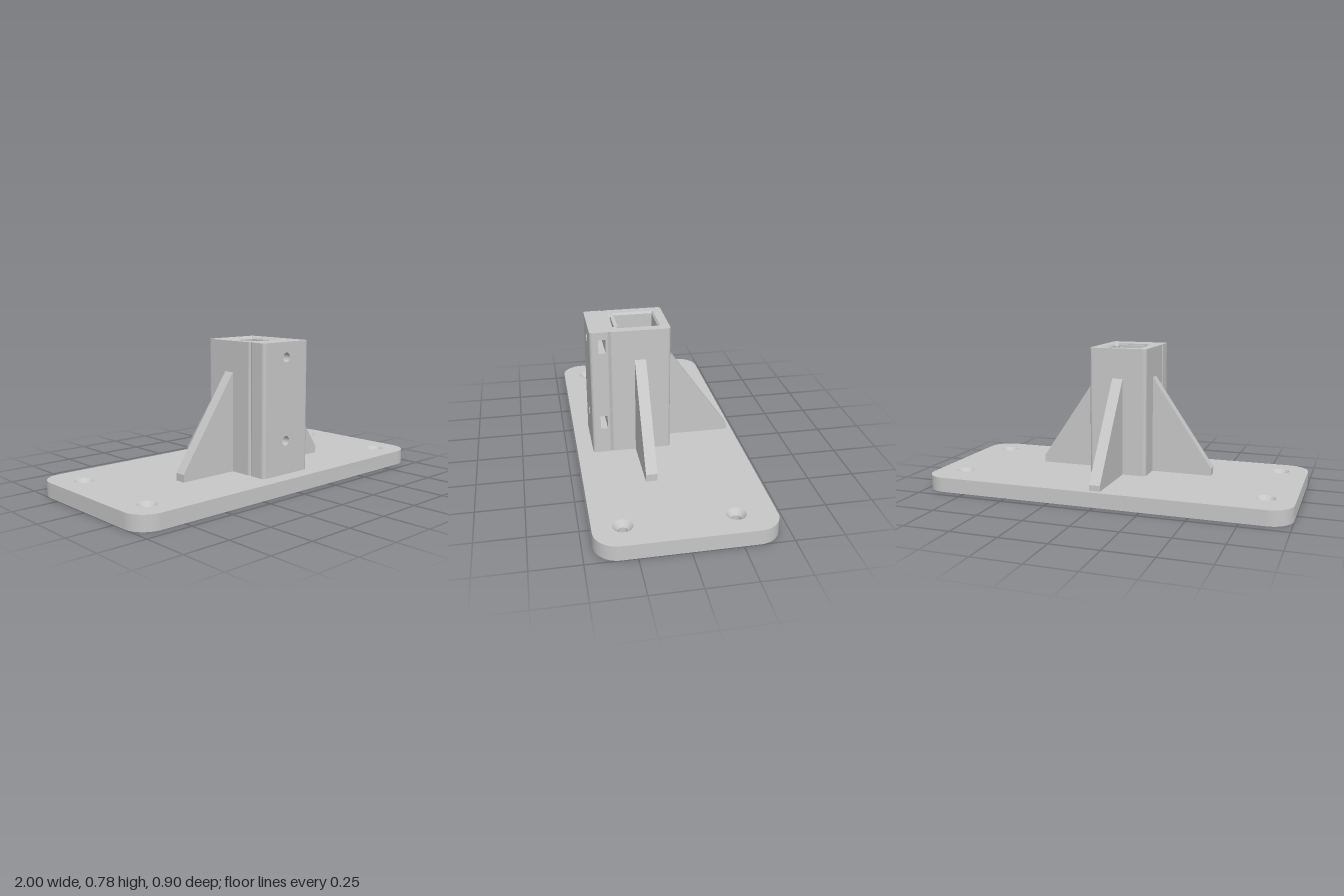
import * as THREE from 'three';
import { mergeGeometries, toCreasedNormals } from 'three/addons/utils/BufferGeometryUtils.js';

const BASE_H = 0.08, TOP = 0.78, HALF = 0.163, R = 0.018;
const BACK = -0.062, WALL = 0.235, FRONT = 0.363, BORE_Z = 0.1;
const POCKET_BACK = 0.281, POCKET_FRONT = 0.319, GROOVE_Z = 0.26;
const ARC = 8;

function polygon(points) {
  return new THREE.Shape(points.map(([x, y]) => new THREE.Vector2(x, y)));
}

function addHole(shape, x, y, r) {
  const path = new THREE.Path();
  path.absarc(x, y, r, 0, Math.PI * 2, true);
  shape.holes.push(path);
}

function extrude(shape, depth, steps = 1) {
  return new THREE.ExtrudeGeometry(shape, { depth, steps, bevelEnabled: false, curveSegments: 16 });
}

// Extrude a plan drawn as (x, -z) upwards from y0 to y1
function extrudeUp(shape, y0, y1) {
  return extrude(shape, y1 - y0).rotateX(-Math.PI / 2).translate(0, y0, 0);
}

// Move every vertex by a rule
function reshape(geo, rule) {
  const p = geo.attributes.position, v = new THREE.Vector3();
  for (let i = 0; i < p.count; i++) {
    rule(v.fromBufferAttribute(p, i));
    p.setXYZ(i, v.x, v.y, v.z);
  }
  geo.computeVertexNormals();
  return geo;
}

// Rounded plate with a centre hole and four countersunk screw holes
function basePlate() {
  const screws = [];
  for (const x of [-0.85, 0.85]) for (const z of [-0.25, 0.3]) screws.push([x, z]);
  const plan = (r) => {
    const s = new THREE.Shape(), c = 0.12, x = 1 - c, y = 0.449 - c;
    s.absarc(x, y, c, 0, Math.PI / 2);
    s.absarc(-x, y, c, Math.PI / 2, Math.PI);
    s.absarc(-x, -y, c, Math.PI, Math.PI * 1.5);
    s.absarc(x, -y, c, Math.PI * 1.5, Math.PI * 2);
    addHole(s, 0, -BORE_Z, 0.03);
    screws.forEach(([hx, hz]) => addHole(s, hx, -hz, r));
    return s;
  };
  const seat = 0.052;
  const lower = extrudeUp(plan(0.025), 0, seat);
  const upper = reshape(extrudeUp(plan(0.05), seat, BASE_H), (v) => {
    if (v.y > seat + 0.001) return;
    for (const [hx, hz] of screws) {
      if (Math.hypot(v.x - hx, v.z - hz) < 0.055) {
        v.x = hx + (v.x - hx) * 0.5;
        v.z = hz + (v.z - hz) * 0.5;
        return;
      }
    }
  });
  return toCreasedNormals(mergeGeometries([lower, upper]), 0.6);
}

// Post block along z with its own step positions and half width at each step
function frontBlock(shape, zs, halfWidth) {
  const steps = zs.length - 1;
  return reshape(extrude(shape, steps, steps), (v) => {
    v.z = zs[Math.round(v.z)];
    if (Math.abs(v.x) > 0.1) v.x = Math.sign(v.x) * halfWidth(v.z);
  });
}

function postGeometry() {
  // Back of the socket: a U in plan, open to the clamp recess
  const right = [[0.085, -WALL], [HALF, -WALL]];
  for (let i = 0; i <= ARC; i++) {
    const a = (i / ARC) * Math.PI / 2;
    right.push([HALF - R + R * Math.cos(a), -BACK - R + R * Math.sin(a)]);
  }
  const inner = [[0.105, 0.005], [0.105, -0.205], [0.085, -0.205]];
  const mirror = (pts) => pts.map(([x, y]) => [-x, y]).reverse();
  const plan = polygon([...right, ...mirror(right), ...mirror(inner), ...inner]);
  const lip = TOP - 0.012;
  const body = extrudeUp(plan, BASE_H, lip);
  // Chamfered socket mouth
  const mouth = reshape(extrudeUp(plan, lip, TOP), (v) => {
    if (v.y < TOP - 0.001 || Math.abs(v.x) > 0.12 || v.z < -0.03) return;
    v.x *= 1.08;
    if (v.z < 0.22) v.z = BORE_Z + (v.z - BORE_Z) * 1.08;
  });

  // Front wall: solid blocks with screw holes around a block with nut pockets
  const drilled = polygon([[-HALF, BASE_H], [HALF, BASE_H], [HALF, TOP], [-HALF, TOP]]);
  for (const y of [0.26, 0.7]) addHole(drilled, 0, y, 0.025);
  const outline = [[-HALF, BASE_H], [HALF, BASE_H]];
  for (const [a, b] of [[0.224, 0.299], [0.664, 0.739]]) {
    outline.push([HALF, a], [-0.04, a], [-0.04, b], [HALF, b]);
  }
  outline.push([HALF, TOP], [-HALF, TOP]);

  // Side groove with rounded flanks
  const g = 0.015, grooveZs = [WALL];
  for (let i = -6; i <= 6; i++) grooveZs.push(GROOVE_Z + g * i / 6);
  grooveZs.push(POCKET_BACK);
  const groove = frontBlock(drilled, grooveZs, (z) => {
    const t = Math.max(0, g - Math.abs(z - GROOVE_Z)) / g;
    return HALF - 0.009 * t * t;
  });
  const pockets = frontBlock(polygon(outline), [POCKET_BACK, POCKET_FRONT], () => HALF);
  // Rounded front corners
  const roundZs = [POCKET_FRONT];
  for (let i = 0; i <= ARC; i++) roundZs.push(FRONT - R + R * Math.sin((i / ARC) * Math.PI / 2));
  const face = frontBlock(drilled, roundZs, (z) => {
    const t = Math.min(R, Math.max(0, z - FRONT + R));
    return HALF - R + Math.sqrt(R * R - t * t);
  });
  return mergeGeometries([body, mouth, groove, pockets, face]);
}

// Triangular rib running out along +x
function ribGeometry(start, end, toeY) {
  const shape = polygon([
    [start - 0.01, BASE_H], [end, BASE_H], [end, toeY], [start, 0.615], [start - 0.01, 0.615],
  ]);
  return extrude(shape, 0.06).translate(0, 0, -0.03);
}

export function createModel() {
  const model = new THREE.Group();
  model.name = 'postBracket';
  const grey = new THREE.MeshStandardMaterial({ color: 0xc7c7c7 });
  grey.name = 'light grey';
  const add = (name, geo) => {
    const mesh = new THREE.Mesh(geo, grey);
    mesh.name = name;
    model.add(mesh);
    return mesh;
  };

  add('basePlate', basePlate());
  add('post', postGeometry());

  // Loose clamp plate standing in the recess
  const plateH = TOP - BASE_H - 0.006;
  add('clampPlate', new THREE.BoxGeometry(0.154, plateH, 0.02))
    .position.set(0, BASE_H + plateH / 2, 0.215);

  // Three stiffening ribs
  const side = ribGeometry(HALF, 0.5, 0.12);
  add('leftRib', side).position.z = BORE_Z;
  const rightRib = add('rightRib', side);
  rightRib.rotation.y = Math.PI;
  rightRib.position.z = BORE_Z;
  add('backRib', ribGeometry(-BACK, 0.42, 0.11)).rotation.y = Math.PI / 2;

  return model;
}
